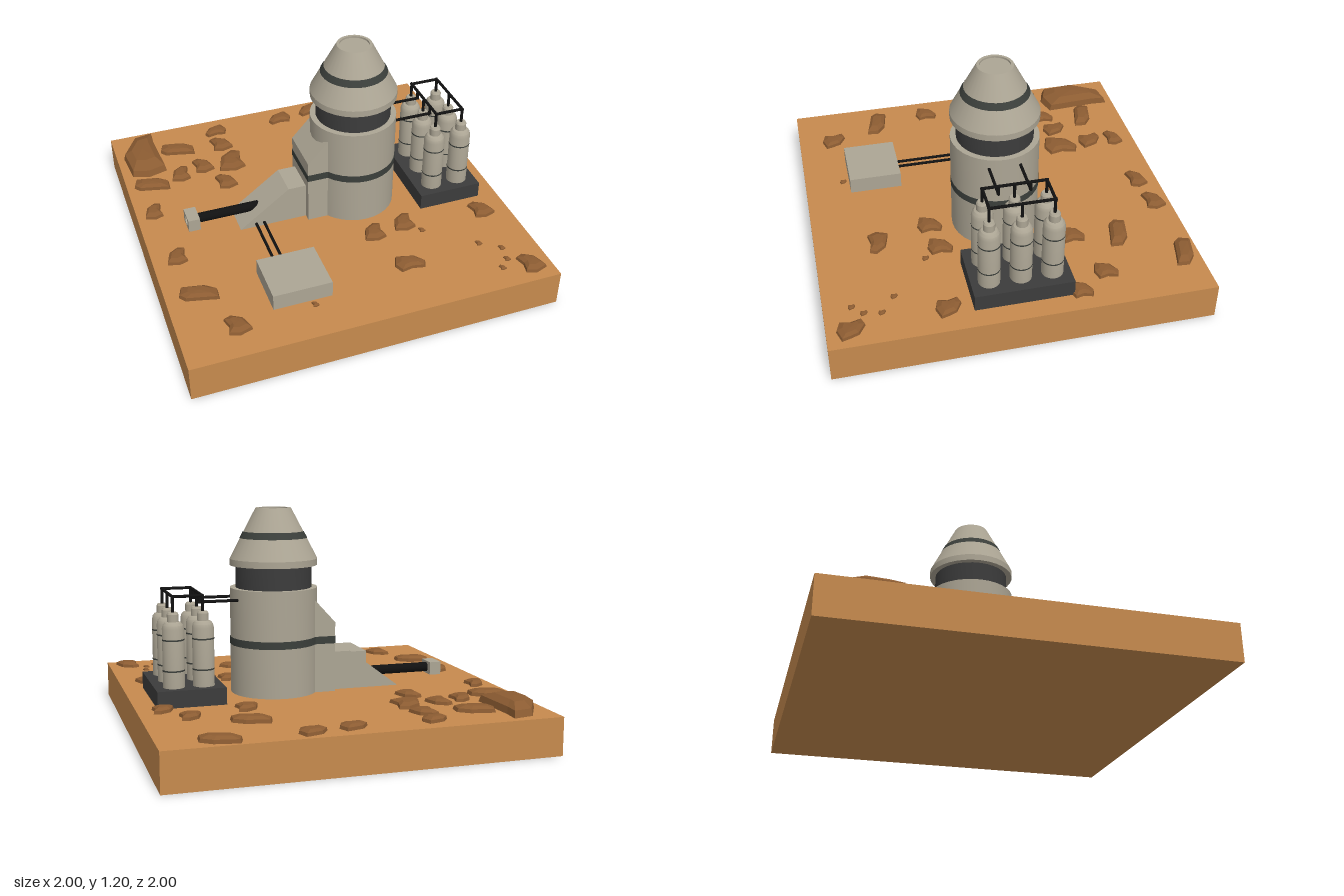
import * as THREE from 'three';
import { toCreasedNormals } from 'three/addons/utils/BufferGeometryUtils.js';

const mat = (color, extra = {}) => new THREE.MeshStandardMaterial({ color, ...extra });
const hull = mat(0xaca594), dark = mat(0x3c3c3c), band = mat(0x3b3f3b), black = mat(0x111111);
const soil = mat(0xc68a4e), stone = mat(0x8c5c32, { flatShading: true });
const GROUND = 0.2;

export function createModel() {
  const root = new THREE.Group();

  const add = (name, geo, material, parent = root) => {
    const m = new THREE.Mesh(geo, material);
    m.name = name;
    parent.add(m);
    return m;
  };
  // Box given by its minimum and maximum corners
  const box = (name, a, b, material, parent) => {
    const g = new THREE.BoxGeometry(b[0] - a[0], b[1] - a[1], b[2] - a[2]);
    g.translate((a[0] + b[0]) / 2, (a[1] + b[1]) / 2, (a[2] + b[2]) / 2);
    return add(name, g, material, parent);
  };
  const lathe = (name, pts, material, parent, seg = 32) => add(name, toCreasedNormals(
    new THREE.LatheGeometry(pts.map(p => new THREE.Vector2(...p)), seg), 0.45), material, parent);
  // Straight round pipe between two points
  const pipe = (name, a, b, r, parent) => {
    const p = new THREE.Vector3(...a), q = new THREE.Vector3(...b), d = q.clone().sub(p);
    const m = add(name, new THREE.CylinderGeometry(r, r, d.length(), 12), black, parent);
    m.position.copy(p).add(q).multiplyScalar(0.5);
    m.quaternion.setFromUnitVectors(new THREE.Vector3(0, 1, 0), d.normalize());
    return m;
  };
  // Side profile in x/y, extruded symmetrically in z
  const slab = (name, pts, halfZ, material) => {
    const g = new THREE.ExtrudeGeometry(new THREE.Shape(pts.map(p => new THREE.Vector2(...p))),
      { depth: 2 * halfZ, bevelEnabled: false });
    g.translate(0, 0, -halfZ);
    return add(name, g, material);
  };

  // Ground
  box('ground', [-1, 0, -1], [1, GROUND, 1], soil);

  // Tower: body, recessed neck, conical cap and dark bands
  const tower = new THREE.Group();
  tower.name = 'tower';
  tower.position.x = 0.207;
  root.add(tower);
  const R = 0.236;
  lathe('towerBody', [[R, 0.2], [R, 0.77], [0, 0.77]], hull, tower);
  lathe('towerBand', [[R, 0.465], [R + 0.002, 0.465], [R + 0.002, 0.505], [R, 0.505]], band, tower);
  lathe('towerNeck', [[0.205, 0.765], [0.205, 0.895]], dark, tower);
  lathe('towerCap', [[0, 0.89], [R, 0.89], [R, 0.925], [0.095, 1.195], [0.08, 1.195],
    [0.08, 1.185], [0, 1.185]], hull, tower);
  const coneR = y => 0.095 + (R - 0.095) * (1.195 - y) / 0.27 + 0.003;
  lathe('capBand', [[coneR(1.035), 1.035], [coneR(1.07), 1.07]], band, tower);

  // Buttress and sloping duct housing
  slab('buttress', [[-0.1, 0.2], [0.1, 0.2], [0.1, 0.7], [0.01, 0.7], [-0.1, 0.58]], 0.135, hull);
  box('buttressBand', [-0.102, 0.465, -0.137], [0.05, 0.505, 0.137], band);
  slab('ductHousing', [[-0.48, 0.2], [-0.08, 0.2], [-0.08, 0.41], [-0.2, 0.41]], 0.095, hull);

  // Outlet pipe with a bored square end block
  pipe('outletPipe', [-0.735, 0.272, 0], [-0.3, 0.272, 0], 0.027);
  const frame = new THREE.Shape([[-0.057, -0.036], [0.057, -0.036], [0.057, 0.036], [-0.057, 0.036]]
    .map(p => new THREE.Vector2(...p)));
  frame.holes.push(new THREE.Path().absarc(0, 0, 0.026, 0, Math.PI * 2, true));
  const block = add('outletBlock', new THREE.ExtrudeGeometry(frame,
    { depth: 0.065, bevelEnabled: false, curveSegments: 16 }), hull);
  block.rotation.y = Math.PI / 2;
  block.position.set(-0.76, 0.271, 0);

  // Equipment pad and its two feed pipes
  box('equipmentPad', [-0.5, GROUND, 0.46], [-0.183, 0.29, 0.75], hull);
  for (const x of [-0.39, -0.345]) pipe('feedPipe', [x, 0.22, 0.06], [x, 0.22, 0.48], 0.008);

  // Tank farm
  box('tankPlatform', [0.53, GROUND, -0.263], [0.89, 0.29, 0.257], dark);
  const tankX = [0.632, 0.788], tankZ = [-0.168, -0.003, 0.162], top = 0.76, pr = 0.008;
  for (const x of tankX) for (const z of tankZ) {
    const tank = new THREE.Group();
    tank.name = 'tank';
    tank.position.set(x, 0, z);
    root.add(tank);
    lathe('tankShell', [[0.057, 0.29], [0.057, 0.595], [0.052, 0.615], [0.042, 0.628], [0.03, 0.632],
      [0.03, 0.67], [0.024, 0.68], [0, 0.68]], hull, tank, 20);
    for (const y of [0.38, 0.54]) lathe('tankRing', [[0.058, y - 0.004], [0.058, y + 0.004]], band, tank, 20);
    pipe('tankRiser', [0, 0.67, 0], [0, top, 0], pr, tank);
  }
  // Rectangular manifold and links to the tower
  for (const x of tankX) pipe('manifoldSide', [x, top, tankZ[0] - pr], [x, top, tankZ[2] + pr], pr);
  for (const z of [tankZ[0], tankZ[2]]) pipe('manifoldEnd', [tankX[0], top, z], [tankX[1], top, z], pr);
  for (const z of [-0.085, 0.08]) {
    pipe('linkPipe', [0.4, 0.715, z], [tankX[0] + pr, 0.715, z], pr);
    pipe('linkDrop', [tankX[0], 0.71, z], [tankX[0], top, z], pr);
  }

  // Rocks: bent outlines stacked as shrinking rings with a domed cap
  const outlines = {
    long: [[-1, -0.1], [-0.8, -0.95], [0.4, -0.6], [0.95, 0.05], [0.9, 1], [0.1, 0.7], [-0.75, 0.4]],
    bent: [[-0.5, -0.5], [0.4, -1], [1, -0.8], [0.75, 0], [0.95, 0.75], [0.1, 1], [-0.95, 0.7], [-0.75, 0.1]],
    big: [[-0.1, -0.9], [0.9, -1], [0.85, -0.55], [1, 0.85], [0, 1], [-0.85, 0.85], [-1, -0.1]],
  };
  const rock = (type, x, z, w, d, h, flip = 1, turn = 0) => {
    let o = outlines[type].map(([u, v]) => turn ? [v, u] : [u, v]).map(([u, v]) => [u * flip, v]);
    if ((flip < 0) !== (turn > 0)) o.reverse();
    const n = o.length, pos = [], idx = [];
    for (const [s, y] of [[1, -0.005], [0.92, h * 0.55], [0.55, h * 0.95]])
      for (const [u, v] of o) pos.push(u * s * w / 2, y, v * s * d / 2);
    pos.push(0, h, 0);
    for (let i = 0; i < n; i++) {
      const j = (i + 1) % n;
      for (const k of [0, n]) idx.push(k + i, k + n + i, k + j, k + j, k + n + i, k + n + j);
      idx.push(2 * n + i, 3 * n, 2 * n + j);
    }
    const g = new THREE.BufferGeometry();
    g.setAttribute('position', new THREE.Float32BufferAttribute(pos, 3));
    g.setIndex(idx);
    g.computeVertexNormals();
    add('rock', g, stone).position.set(x, GROUND, z);
  };
  rock('big', -0.85, -0.755, 0.22, 0.41, 0.065);
  // Long rocks: x, z
  for (const [x, z] of [[-0.635, -0.76], [0.71, -0.92], [-0.855, -0.465], [-0.825, 0.515], [0.49, -0.625]])
    rock('long', x, z, 0.21, 0.14, 0.035);
  // Bent rocks: x, z, width, depth, flip, turn
  for (const [x, z, w = 0.12, d = 0.14, flip, turn] of [
    [-0.365, -0.88, 0.14, 0.1, 1, 1], [0.055, -0.885, 0.15, 0.11, 1, 1], [0.265, -0.915, 0.15, 0.12, 1, 1],
    [-0.365, -0.73, 0.13, 0.14, -1], [-0.365, -0.54, 0.17, 0.2], [-0.525, -0.55, 0.12, 0.14, -1],
    [-0.68, -0.51], [-0.435, -0.355, 0.12, 0.14, -1], [-0.905, -0.215, 0.11, 0.13], [-0.87, 0.2, 0.12, 0.13],
    [-0.695, 0.795, 0.13, 0.14, -1], [0.755, -0.47, 0.12, 0.13], [0.445, -0.375, 0.13, 0.14],
    [0.865, -0.305, 0.12, 0.12], [0.195, 0.365, 0.13, 0.14], [0.38, 0.34, 0.13, 0.14],
    [0.85, 0.38, 0.13, 0.14, -1], [0.285, 0.655, 0.17, 0.12, -1, 1], [0.895, 0.875, 0.13, 0.15, -1],
  ]) rock('bent', x, z, w, d, 0.03, flip, turn);
  // Pebbles
  for (const [x, z] of [[0.46, 0.43], [0.705, 0.635], [0.805, 0.71], [0.79, 0.8], [0.735, 0.855], [-0.287, 0.783]])
    rock('bent', x, z, 0.035, 0.04, 0.012, -1);

  return root;
}
